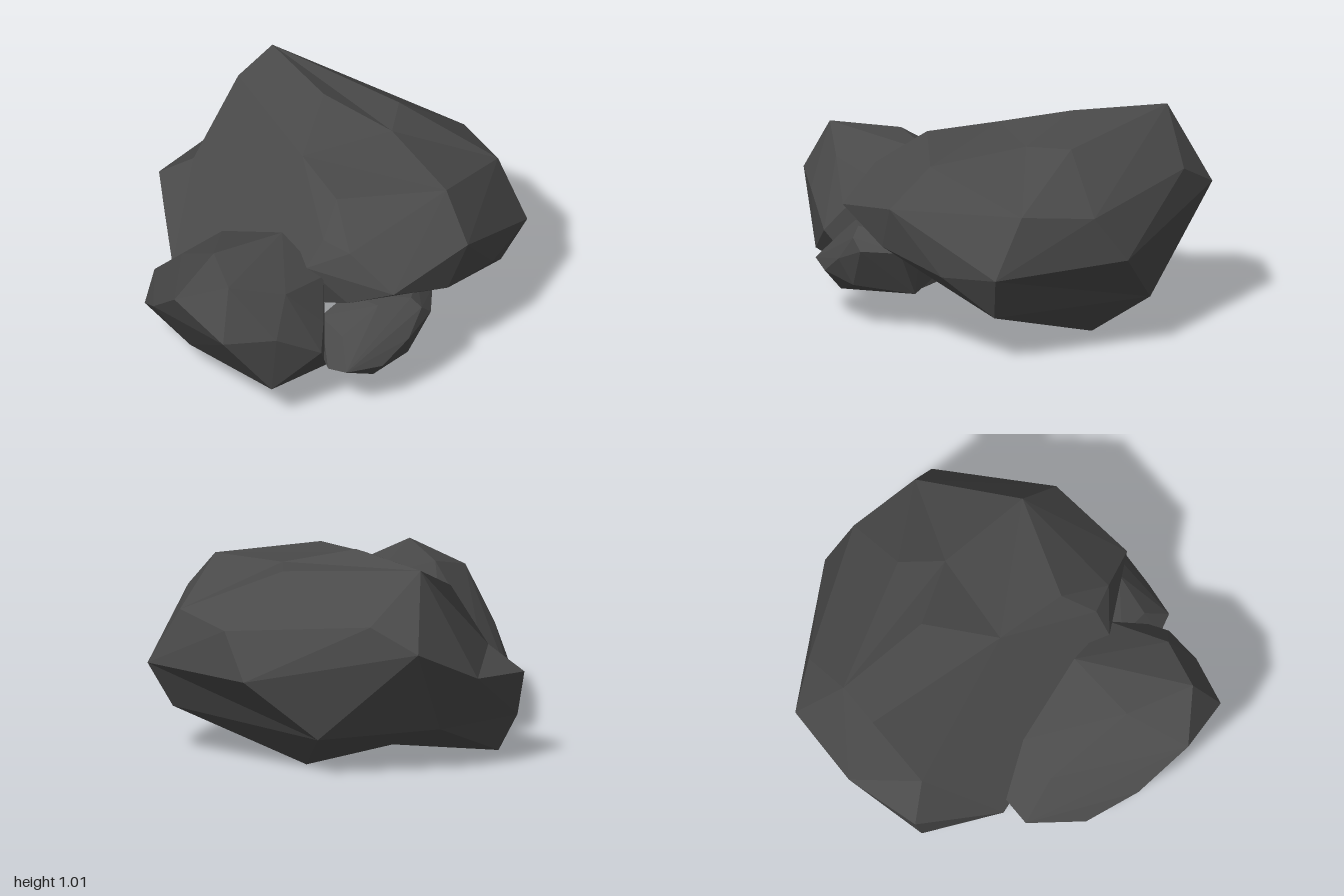
import * as THREE from 'three';
import { ConvexGeometry } from 'three/addons/geometries/ConvexGeometry.js';

const stone = new THREE.MeshStandardMaterial({ color: 0x4a4a4a, flatShading: true });

// Faceted rock: hull around its corners, then dented corners are moved inward
function rock(name, corners, dents = []) {
  const all = [...corners, ...dents.map(([from]) => from)];
  const geometry = new ConvexGeometry(all.map((c) => new THREE.Vector3(...c)));
  const position = geometry.attributes.position;
  const v = new THREE.Vector3();
  for (let i = 0; i < position.count; i++) {
    v.fromBufferAttribute(position, i);
    for (const [from, to] of dents) {
      if (v.distanceTo(new THREE.Vector3(...from)) < 1e-3) position.setXYZ(i, ...to);
    }
  }
  geometry.computeVertexNormals();
  const mesh = new THREE.Mesh(geometry, stone);
  mesh.name = name;
  return mesh;
}

export function createModel() {
  const group = new THREE.Group();
  group.name = 'rockCluster';

  // Large boulder at the back
  group.add(rock('largeRock', [
    // crown
    [-0.16, 1.01, -0.34], [-0.62, 0.99, -0.5], [0.335, 0.895, 0.14],
    [0.67, 0.88, -0.27], [0.08, 0.925, -0.61], [-0.67, 0.89, -0.31],
    // back
    [0.06, 0.46, -1], [0.21, 0.68, -0.93], [0.545, 0.72, -0.79], [0.72, 0.44, -0.8],
    [-0.5, 0.75, -0.76], [-0.73, 0.63, -0.7],
    // sides
    [0.865, 0.69, -0.2], [0.78, 0.6, 0.24], [0.825, 0.475, -0.1], [0.78, 0.4, -0.48],
    [-0.865, 0.425, 0.04], [-0.84, 0.46, -0.34], [-0.82, 0.21, 0.05],
    // front
    [0.39, 0.77, 0.3], [0.54, 0.75, 0.28], [0.36, 0.64, 0.39], [0.55, 0.48, 0.31],
    [-0.53, 0.2, 0.33], [-0.1, 0.2, 0.33],
    // underside
    [-0.745, 0.035, 0], [-0.05, 0, -0.61], [0.64, 0.22, -0.7],
  ], [
    // hollows in the shoulder, crown and underside
    [[-0.82, 0.58, -0.02], [-0.7, 0.55, -0.02]],
    [[0, 0.98, 0], [0, 0.91, 0]],
    [[0.2, 0.98, -0.42], [0.2, 0.92, -0.42]],
    [[-0.24, -0.05, -0.815], [-0.24, 0.18, -0.815]],
    [[-0.7, 0.12, -0.45], [-0.68, 0.21, -0.42]],
    [[-0.22, -0.01, 0], [-0.22, 0.012, 0]],
  ]));

  // Medium rock leaning against the front
  group.add(rock('mediumRock', [
    // top
    [0.3, 0.77, 0.885], [0.03, 0.73, 0.68], [0.15, 0.71, 0.32], [0.46, 0.68, 0.655],
    [0.43, 0.6, 0.345], [-0.26, 0.5, 0.28], [-0.34, 0.44, 0.48],
    // front nose
    [0.06, 0.65, 1], [0.365, 0.53, 1], [0.32, 0.44, 0.915], [0.51, 0.5, 0.78],
    [-0.185, 0.42, 0.87],
    // sides
    [0.61, 0.36, 0.57], [0.555, 0.47, 0.49], [-0.49, 0.27, 0.32], [-0.535, 0.24, 0.455],
    [-0.385, 0.25, 0.7],
    // underside
    [0.48, 0.2, 0.78], [0.51, 0.16, 0.42], [0.39, 0.085, 0.52], [0.25, 0.07, 0.27],
    [0.19, 0.075, 0.57], [-0.245, 0.09, 0.58], [-0.38, 0.14, 0.45], [-0.1, 0.14, 0.7],
    [0, 0.1, 0.28],
  ]));

  // Small rock tucked under the side
  group.add(rock('smallRock', [
    [0.785, 0.52, 0.12], [0.69, 0.5, 0.25], [0.7, 0.5, -0.02], [0.835, 0.475, 0.1],
    [0.84, 0.42, 0.04], [0.84, 0.35, 0.2], [0.8, 0.25, 0.345], [0.715, 0.26, 0.51],
    [0.61, 0.24, 0.52], [0.62, 0.385, 0.43], [0.46, 0.41, 0.4], [0.5, 0.25, 0.45],
    [0.49, 0.14, 0.34], [0.72, 0.15, 0.32], [0.79, 0.22, 0.15], [0.6, 0.19, -0.08],
    [0.72, 0.42, -0.11], [0.55, 0.45, -0.07], [0.42, 0.24, -0.03], [0.5, 0.48, 0.25],
    [0.5, 0.14, 0.1],
  ]));

  return group;
}
